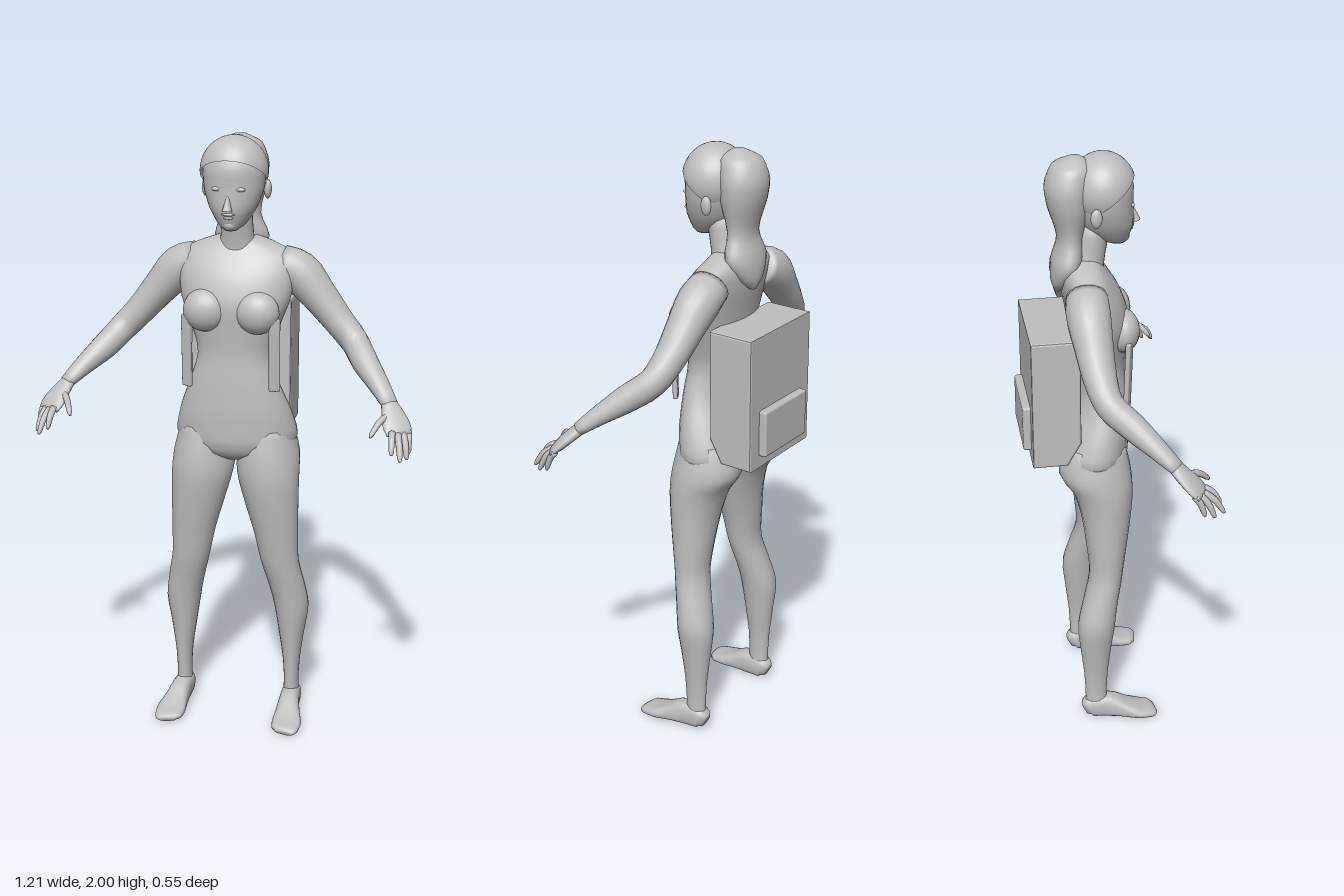
import * as THREE from 'three';
import { RoundedBoxGeometry } from 'three/addons/geometries/RoundedBoxGeometry.js';

const grey = new THREE.MeshStandardMaterial({ color: 0xbfbfbf });
grey.name = 'plain grey';

// Skin through elliptical rings [x, y, z, ru, rv]; ru lies along ref.
// With level = true all rings stay horizontal.
function loft(rings, { ref = [1, 0, 0], level = false, steps = 3, sides = 20, power = 1 } = {}) {
  const centres = new THREE.CatmullRomCurve3(rings.map(r => new THREE.Vector3(r[0], r[1], r[2])));
  const radii = new THREE.CatmullRomCurve3(rings.map(r => new THREE.Vector3(r[3], r[4], 0)));
  const n = (rings.length - 1) * steps, pos = [], idx = [];
  const soft = v => Math.sign(v) * Math.abs(v) ** power;
  for (let i = 0; i <= n; i++) {
    const c = centres.getPoint(i / n), r = radii.getPoint(i / n), t = centres.getTangent(i / n);
    if (level) t.set(0, Math.sign(rings[rings.length - 1][1] - rings[0][1]), 0);
    const u = new THREE.Vector3(...ref);
    u.addScaledVector(t, -u.dot(t)).normalize();
    const v = u.clone().cross(t);
    for (let j = 0; j < sides; j++) {
      const a = j / sides * Math.PI * 2;
      const p = c.clone().addScaledVector(u, r.x * soft(Math.cos(a))).addScaledVector(v, r.y * soft(Math.sin(a)));
      pos.push(p.x, p.y, p.z);
      if (i === n) continue;
      const A = i * sides + j, B = i * sides + (j + 1) % sides;
      idx.push(A, A + sides, B, B, A + sides, B + sides);
    }
  }
  // End caps
  const first = rings[0], last = rings[rings.length - 1], s = pos.length / 3;
  pos.push(...first.slice(0, 3), ...last.slice(0, 3));
  for (let j = 0; j < sides; j++) {
    const k = (j + 1) % sides;
    idx.push(s, j, k, s + 1, n * sides + k, n * sides + j);
  }
  const g = new THREE.BufferGeometry();
  g.setAttribute('position', new THREE.Float32BufferAttribute(pos, 3));
  g.setIndex(idx);
  g.computeVertexNormals();
  return g;
}

function add(parent, name, geometry, x = 0, y = 0, z = 0) {
  const m = new THREE.Mesh(geometry, grey);
  m.name = name;
  m.position.set(x, y, z);
  parent.add(m);
  return m;
}

const ball = (rx, ry, rz) => new THREE.SphereGeometry(1, 20, 14).scale(rx, ry, rz);
const column = rows => loft(rows.map(([y, z, rx, rz]) => [0, y, z, rx, rz]), { level: true, sides: 28 });

function addBody(g) {
  add(g, 'torso', column([
    [0.94, -0.03, 0.07, 0.05], [0.97, -0.045, 0.165, 0.105], [1.02, -0.05, 0.204, 0.124],
    [1.1, -0.032, 0.188, 0.108], [1.2, -0.01, 0.15, 0.082], [1.3, -0.012, 0.122, 0.077],
    [1.4, -0.02, 0.148, 0.09], [1.48, -0.025, 0.178, 0.098], [1.56, -0.045, 0.19, 0.092],
    [1.62, -0.065, 0.185, 0.075], [1.655, -0.072, 0.12, 0.06], [1.675, -0.07, 0.06, 0.045]]));
  add(g, 'neck', column([[1.62, -0.065, 0.07, 0.06], [1.68, -0.05, 0.053, 0.052], [1.78, -0.03, 0.05, 0.05]]));
  for (const s of [-1, 1]) add(g, 'breast', ball(0.072, 0.07, 0.055), s * 0.085, 1.45, 0.042);
}

function addHead(g) {
  add(g, 'head', column([
    [1.712, 0.04, 0.02, 0.025], [1.73, 0.025, 0.044, 0.05], [1.78, 0.008, 0.076, 0.082],
    [1.84, -0.004, 0.096, 0.092], [1.9, -0.008, 0.1, 0.096], [1.96, -0.008, 0.068, 0.07],
    [1.985, -0.008, 0.02, 0.02]]));
  const cap = new THREE.SphereGeometry(1, 32, 16, 0, Math.PI * 2, 0, Math.PI * 0.57);
  cap.rotateX(-0.62).scale(0.108, 0.11, 0.102);
  add(g, 'hairCap', cap, 0, 1.89, -0.005).material = hairMaterial;
  add(g, 'ponytail', column([
    [1.562, -0.145, 0.012, 0.012], [1.6, -0.135, 0.055, 0.034], [1.665, -0.118, 0.09, 0.048],
    [1.74, -0.108, 0.064, 0.04], [1.84, -0.11, 0.084, 0.066], [1.9, -0.112, 0.088, 0.072],
    [1.965, -0.1, 0.068, 0.062], [1.992, -0.09, 0.02, 0.02]]));
  // Face
  const nose = new THREE.ConeGeometry(0.016, 0.06, 10).scale(1, 1, 1.1).rotateX(-0.2);
  add(g, 'nose', nose, 0, 1.808, 0.088);
  add(g, 'upperLip', ball(0.022, 0.006, 0.012), 0, 1.768, 0.08);
  add(g, 'lowerLip', ball(0.018, 0.006, 0.012), 0, 1.757, 0.077);
  add(g, 'chin', ball(0.024, 0.02, 0.02), 0, 1.732, 0.058);
  for (const s of [-1, 1]) {
    add(g, 'eye', ball(0.015, 0.007, 0.008), s * 0.038, 1.845, 0.078);
    add(g, 'ear', ball(0.012, 0.03, 0.018), s * 0.1, 1.83, -0.04);
  }
}

function addLeg(g, s) {
  const leg = [
    [0.1, 1.06, -0.05, 0.085, 0.1], [0.107, 0.96, -0.048, 0.104, 0.118], [0.112, 0.89, -0.024, 0.104, 0.099],
    [0.124, 0.8, -0.015, 0.092, 0.082], [0.142, 0.68, -0.016, 0.075, 0.066], [0.154, 0.58, -0.02, 0.065, 0.056],
    [0.176, 0.48, -0.042, 0.062, 0.059], [0.19, 0.4, -0.057, 0.059, 0.063], [0.191, 0.3, -0.06, 0.044, 0.053],
    [0.192, 0.19, -0.06, 0.029, 0.041], [0.192, 0.11, -0.06, 0.025, 0.037], [0.192, 0.03, -0.06, 0.028, 0.036]];
  add(g, 'leg', loft(leg.map(([x, ...r]) => [s * x, ...r]), { level: true }));
  const foot = [
    [0.192, 0.032, -0.1, 0.016, 0.024], [0.192, 0.042, -0.08, 0.032, 0.04], [0.194, 0.044, -0.02, 0.034, 0.044],
    [0.2, 0.03, 0.04, 0.042, 0.03], [0.205, 0.019, 0.09, 0.05, 0.019], [0.205, 0.014, 0.13, 0.045, 0.014],
    [0.202, 0.01, 0.145, 0.03, 0.008]];
  add(g, 'foot', loft(foot.map(([x, ...r]) => [s * x, ...r]), { power: 0.75 }));
}

function addArm(g, s) {
  const up = { ref: [0, 1, 0] };
  const side = rows => rows.map(([x, ...r]) => [s * x, ...r]);
  add(g, 'arm', loft(side([
    [0.13, 1.59, -0.075, 0.06, 0.065], [0.195, 1.56, -0.08, 0.069, 0.068], [0.26, 1.492, -0.075, 0.058, 0.06],
    [0.33, 1.41, -0.065, 0.049, 0.051], [0.385, 1.352, -0.045, 0.046, 0.044], [0.43, 1.302, 0.015, 0.043, 0.042],
    [0.485, 1.25, 0.08, 0.031, 0.034], [0.528, 1.205, 0.132, 0.02, 0.027]]), up));
  add(g, 'palm', loft(side([
    [0.522, 1.21, 0.125, 0.019, 0.026], [0.54, 1.183, 0.152, 0.018, 0.038],
    [0.556, 1.155, 0.18, 0.016, 0.046], [0.568, 1.132, 0.202, 0.01, 0.042]]), up));
  // Fingers and thumb: root, tip, thickness
  const digits = [
    [0.592, 1.14, 0.174, 0.599, 1.075, 0.205], [0.578, 1.135, 0.193, 0.597, 1.066, 0.236],
    [0.563, 1.135, 0.206, 0.58, 1.068, 0.268], [0.546, 1.142, 0.212, 0.552, 1.085, 0.262],
    [0.525, 1.18, 0.165, 0.482, 1.13, 0.24]];
  digits.forEach(([x, y, z, a, b, c], i) => {
    const mix = (k, r) => [s * (x + (a - x) * k), y + (b - y) * k + 0.012 * Math.sin(k * Math.PI), z + (c - z) * k, r, r];
    add(g, i < 4 ? 'finger' : 'thumb',
      loft([mix(0, 0.011), mix(0.5, 0.0105), mix(0.9, 0.008), mix(1, 0.004)], { ...up, sides: 10 }));
  });
}

function addBackpack(g) {
  // Side profile in (z, y), swept across the back
  const profile = new THREE.Shape([[-0.107, 1.453], [-0.248, 1.453], [-0.248, 1.027], [-0.148, 1.027], [-0.107, 1.1]]
    .map(p => new THREE.Vector2(...p)));
  const bag = new THREE.ExtrudeGeometry(profile, {
    depth: 0.322, bevelThickness: 0.007, bevelSize: 0.007, bevelSegments: 2 });
  bag.translate(0, 0, -0.161).rotateY(-Math.PI / 2);
  add(g, 'bag', bag);
  add(g, 'pocket', new RoundedBoxGeometry(0.235, 0.155, 0.05, 2, 0.008), 0, 1.137, -0.255);
  for (const s of [-1, 1]) {
    const strap = add(g, 'strap', new RoundedBoxGeometry(0.036, 0.24, 0.016, 2, 0.005), s * 0.144, 1.315, 0.052);
    strap.rotation.set(0.03, s * 0.5, 0);
  }
}

// The cap is an open shell, so it shows both faces
const hairMaterial = grey;
grey.side = THREE.DoubleSide;

export function createModel() {
  const model = new THREE.Group();
  model.name = 'standingWoman';
  const section = (name, build, ...args) => {
    const g = new THREE.Group();
    g.name = name;
    build(g, ...args);
    model.add(g);
  };
  section('body', addBody);
  section('headAndHair', addHead);
  section('backpack', addBackpack);
  for (const s of [1, -1]) {
    section(s > 0 ? 'leftLeg' : 'rightLeg', addLeg, s);
    section(s > 0 ? 'leftArm' : 'rightArm', addArm, s);
  }
  return model;
}
